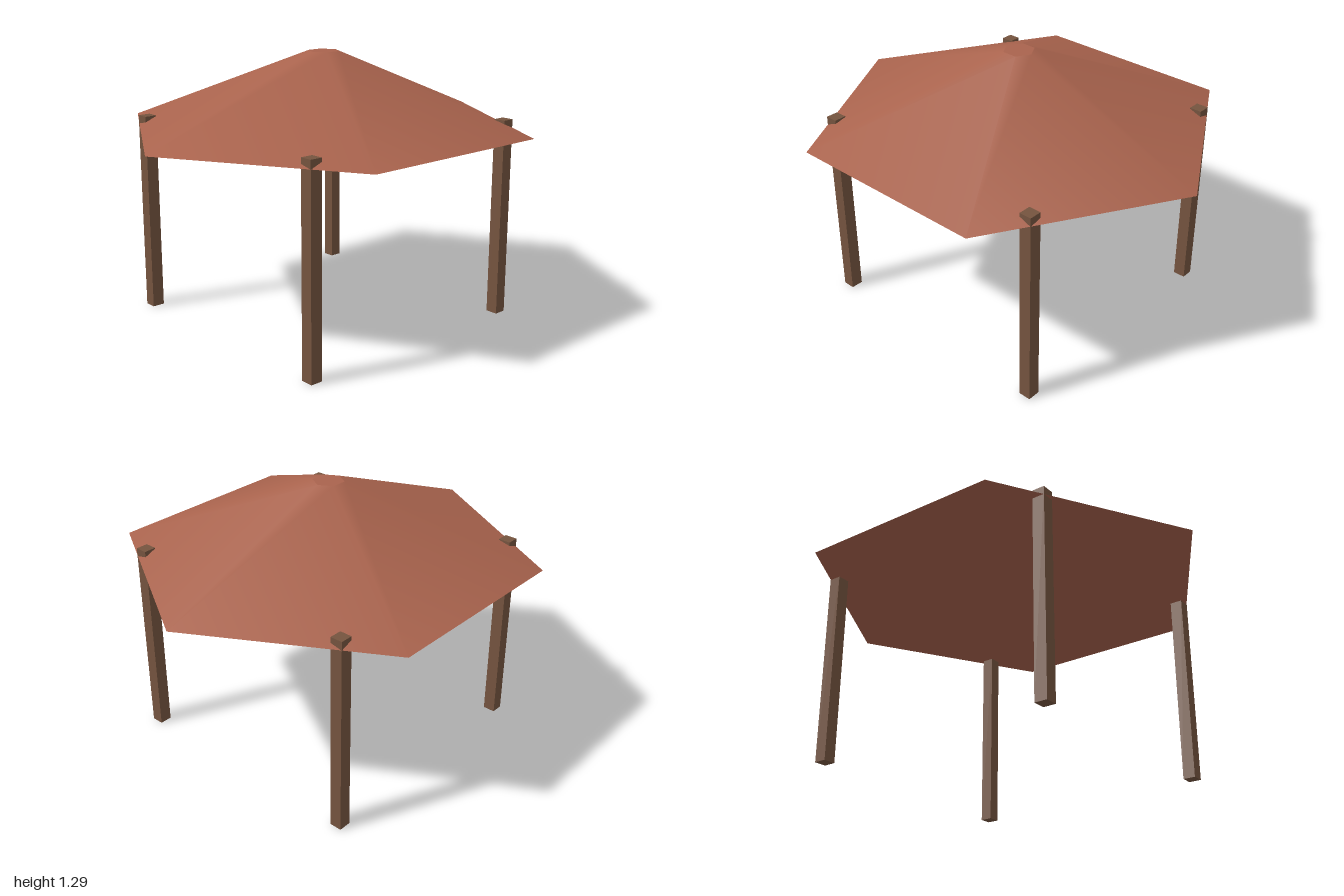
import * as THREE from 'three';

export function createModel() {
  const model = new THREE.Group();
  model.name = 'pavilion';
  const tile = new THREE.MeshStandardMaterial({ name: 'terracotta', color: 0xa9634d });
  const wood = new THREE.MeshStandardMaterial({ name: 'brown wood', color: 0x75543f });

  // Six-sided hipped roof with a small flat top, smooth around its sides
  const eaves = 0.93, ridge = 1.29;
  const roof = new THREE.Mesh(new THREE.CylinderGeometry(0.075, 1, ridge - eaves, 6), tile);
  roof.name = 'roof';
  roof.position.y = (eaves + ridge) / 2;
  model.add(roof);

  // Four square posts, their tops poking through the roof edge
  const height = 0.97, width = 0.06, offset = 0.605;
  const postGeometry = new THREE.BoxGeometry(width, height, width);
  for (const [x, side] of [[1, 'left'], [-1, 'right']]) {
    for (const [z, end] of [[1, 'Front'], [-1, 'Back']]) {
      const post = new THREE.Mesh(postGeometry, wood);
      post.name = `${side}${end}Post`;
      post.position.set(x * offset, height / 2, z * offset);
      model.add(post);
    }
  }
  return model;
}
